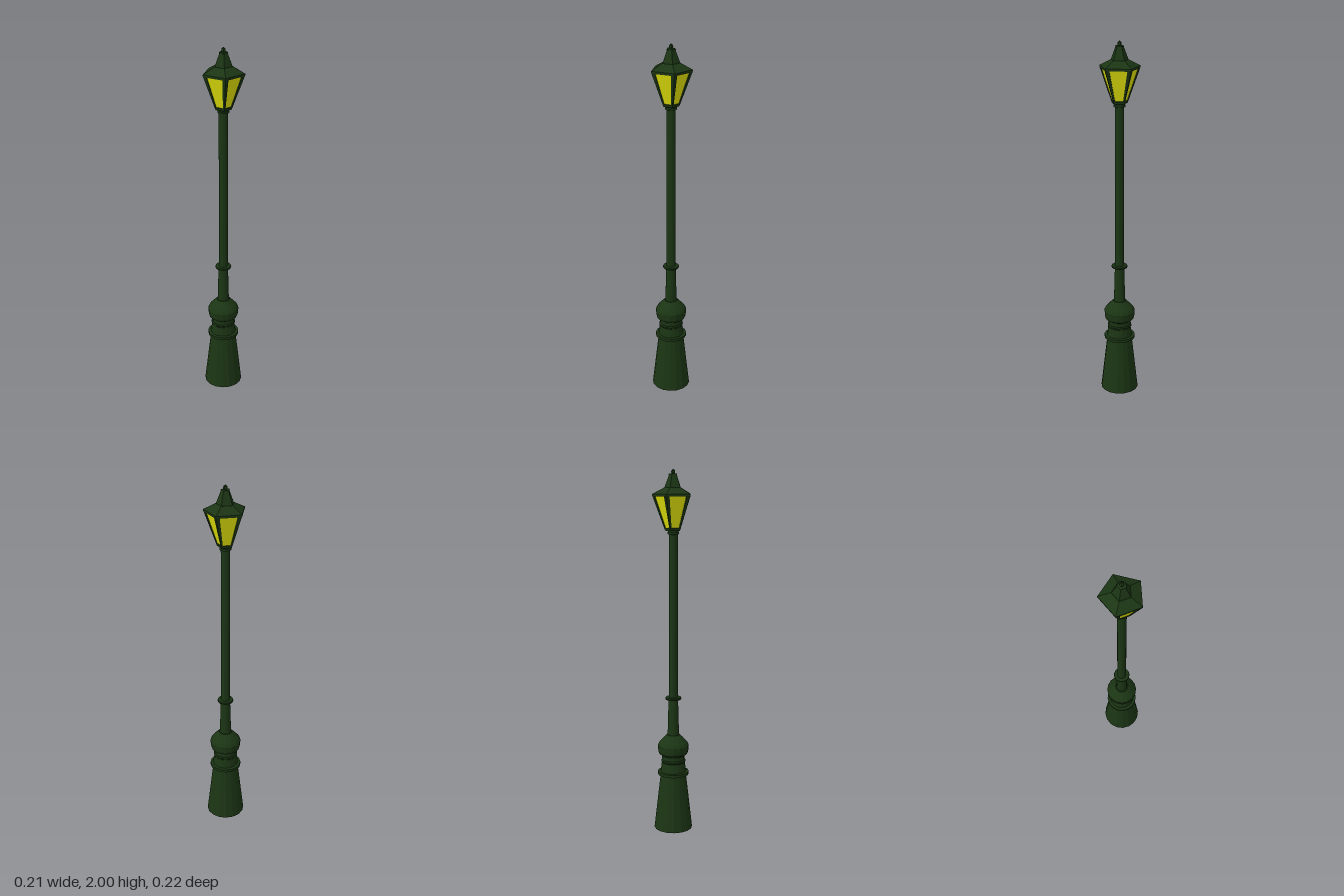
import * as THREE from 'three';

const green = new THREE.MeshStandardMaterial({ color: 0x1b3514, flatShading: true, side: THREE.DoubleSide });
const yellow = new THREE.MeshStandardMaterial({ color: 0xe8e80c, flatShading: true, side: THREE.DoubleSide });

// Faceted turned part; five-sided parts point a corner to the back
function turned(name, points, sides, material = green) {
  const profile = points.map(([r, y]) => new THREE.Vector2(r, y));
  const geometry = new THREE.LatheGeometry(profile, sides, sides === 5 ? Math.PI : 0);
  const mesh = new THREE.Mesh(geometry, material);
  mesh.name = name;
  return mesh;
}

// Trapezoid standing from y0 to y1 with half widths w0 and w1
function trapezoid(PathType, y0, w0, y1, w1) {
  return new PathType([[-w0, y0], [w0, y0], [w1, y1], [-w1, y1]].map(([x, y]) => new THREE.Vector2(x, y)));
}

export function createModel() {
  const model = new THREE.Group();
  model.name = 'streetLamp';

  // Pedestal and post
  model.add(
    turned('pedestal', [[0, 0], [0.107, 0], [0.071, 0.316], [0.071, 0.335], [0.064, 0.39]], 16),
    turned('pedestalRing', [[0.06, 0.316], [0.087, 0.316], [0.087, 0.332], [0.06, 0.334]], 16),
    turned('neck', [[0.064, 0.385], [0.068, 0.39], [0.068, 0.397], [0.063, 0.402], [0.063, 0.425], [0.07, 0.43], [0.07, 0.442]], 16),
    turned('pedestalCap', [[0.06, 0.437], [0.08, 0.437], [0.084, 0.45], [0.087, 0.485], [0.078, 0.502], [0.055, 0.527], [0.037, 0.545], [0, 0.545]], 16),
    turned('lowerPost', [[0.032, 0.54], [0.029, 0.66], [0.026, 0.755]], 16),
    turned('postRing', [[0.02, 0.748], [0.043, 0.748], [0.045, 0.754], [0.043, 0.76], [0.02, 0.76]], 16),
    turned('upperPost', [[0.025, 0.75], [0.024, 1.68]], 16),
    turned('lanternCollar', [[0.022, 1.655], [0.031, 1.658], [0.031, 1.668], [0.024, 1.678]], 16)
  );

  // Lantern body
  const lantern = new THREE.Group();
  lantern.name = 'lantern';
  const low = 1.676, high = 1.862, lowRadius = 0.044, highRadius = 0.113;
  lantern.add(
    turned('lanternFloor', [[0, low], [lowRadius, low], [lowRadius, low + 0.004], [0, low + 0.004]], 5),
    turned('glass', [[lowRadius - 0.006, low], [highRadius - 0.006, high]], 5, yellow)
  );

  // Five window frames leaning outward
  const apothem = Math.cos(Math.PI / 5), half = Math.sin(Math.PI / 5);
  const lean = (highRadius - lowRadius) * apothem;
  const slant = Math.hypot(lean, high - low);
  const shape = trapezoid(THREE.Shape, 0, lowRadius * half, slant, highRadius * half);
  shape.holes.push(trapezoid(THREE.Path, 0.015, 0.021, slant - 0.006, 0.046));
  const frameGeometry = new THREE.ExtrudeGeometry(shape, { depth: 0.007, bevelEnabled: false });
  frameGeometry.translate(0, 0, -0.007);
  frameGeometry.rotateX(Math.atan2(lean, high - low));
  frameGeometry.translate(0, low, lowRadius * apothem);
  for (let i = 0; i < 5; i++) {
    const frame = new THREE.Mesh(frameGeometry, green);
    frame.name = 'windowFrame';
    frame.rotation.y = (i * Math.PI * 2) / 5;
    lantern.add(frame);
  }

  // Roof, chimney and finial
  lantern.add(
    turned('roof', [[0, 1.86], [0.113, 1.86], [0.113, 1.869], [0.05, 1.902], [0, 1.902]], 5),
    turned('chimney', [[0.049, 1.9], [0.023, 1.967], [0.025, 1.968], [0.024, 1.974], [0, 1.975]], 5),
    turned('finial', [[0.008, 1.973], [0.012, 1.982], [0.01, 1.992], [0, 2]], 5)
  );
  model.add(lantern);
  return model;
}
